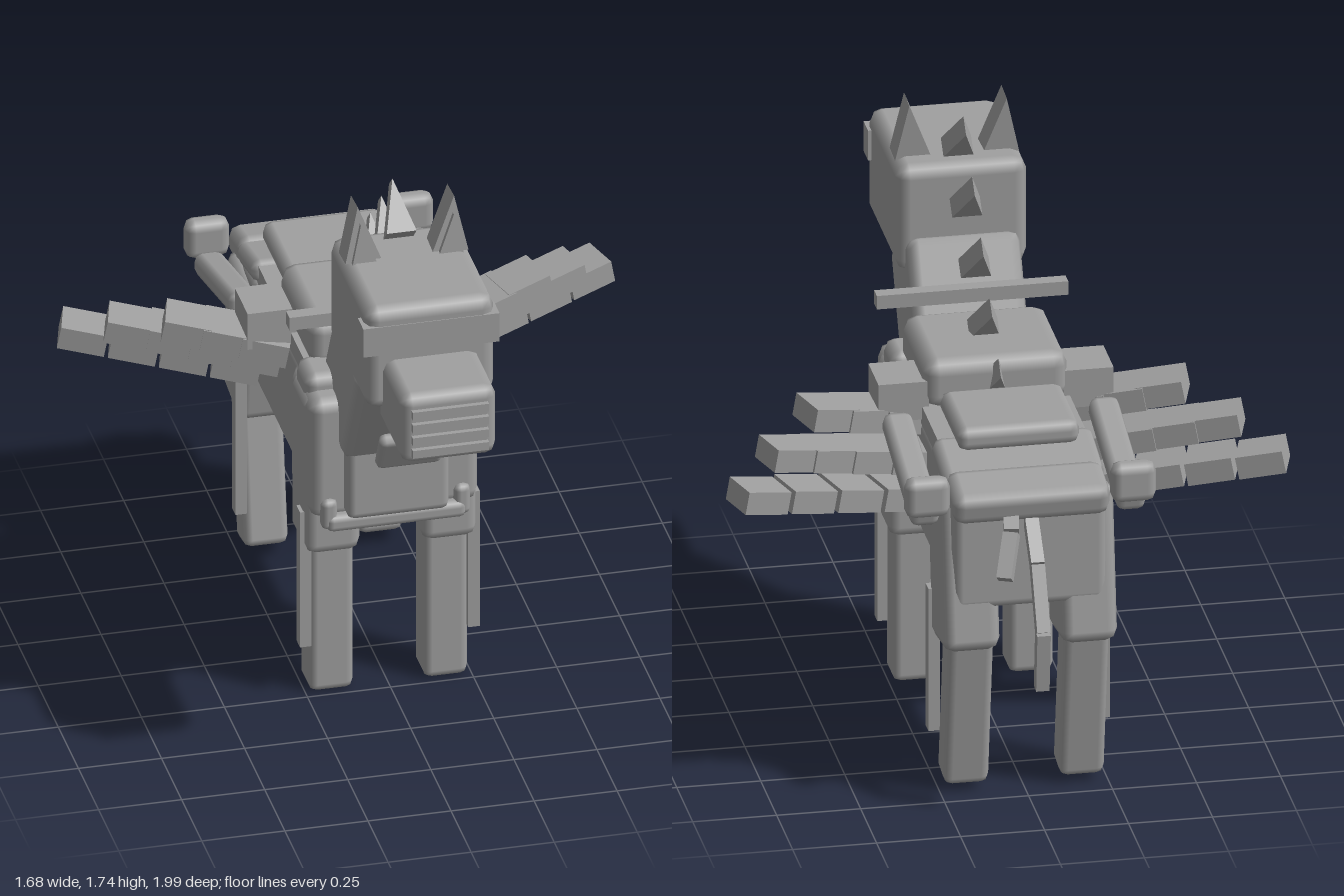
import * as THREE from 'three';
import { RoundedBoxGeometry } from 'three/addons/geometries/RoundedBoxGeometry.js';

const gray = new THREE.MeshStandardMaterial({ color: 0xa0a0a0 });
gray.name = 'plainGray';

export function createModel() {
  const model = new THREE.Group();
  model.name = 'wingedQuadruped';

  function add(name, geometry, pos, rot = [0, 0, 0]) {
    const mesh = new THREE.Mesh(geometry, gray);
    mesh.name = name;
    mesh.position.set(...pos);
    mesh.rotation.set(...rot);
    model.add(mesh);
    return mesh;
  }
  // Sharp box, and box with chamfered edges of width r
  const box = (name, size, pos, rot) => add(name, new THREE.BoxGeometry(...size), pos, rot);
  const soft = (name, size, pos, r = 0.035, rot) =>
    add(name, new RoundedBoxGeometry(...size, 1, r), pos, rot);

  // Triangular prism standing on its base, centred in depth
  function spike(name, halfWidth, height, depth, lean, pos, rot) {
    const shape = new THREE.Shape([
      new THREE.Vector2(-halfWidth, -height / 2),
      new THREE.Vector2(halfWidth, -height / 2),
      new THREE.Vector2(lean, height / 2),
    ]);
    const g = new THREE.ExtrudeGeometry(shape, { depth, bevelEnabled: false });
    g.translate(0, 0, -depth / 2);
    return add(name, g, pos, rot);
  }

  // Box running between two points
  function link(name, a, b, width, thick, r = 0) {
    const va = new THREE.Vector3(...a), vb = new THREE.Vector3(...b);
    const len = va.distanceTo(vb);
    const mid = va.clone().add(vb).multiplyScalar(0.5);
    const g = r ? new RoundedBoxGeometry(width, thick, len, 1, r) : new THREE.BoxGeometry(width, thick, len);
    add(name, g, mid.toArray()).lookAt(vb);
  }

  // Head
  soft('head', [0.39, 0.34, 0.475], [0, 1.4, 0.518], 0.04);
  soft('snout', [0.29, 0.23, 0.3], [0, 1.285, 0.835], 0.035);
  box('visor', [0.41, 0.095, 0.07], [0, 1.468, 0.723]);
  for (let i = 0; i < 4; i++) box('muzzleBar', [0.23, 0.026, 0.03], [0, 1.215 + i * 0.043, 0.985]);
  for (const s of [-1, 1]) {
    spike('ear', 0.055, 0.18, 0.085, s * 0.015, [s * 0.13, 1.65, 0.405], [-0.08, 0, 0]);
    spike('innerEar', 0.038, 0.13, 0.02, s * 0.01, [s * 0.13, 1.625, 0.455], [-0.08, 0, 0]);
  }

  // Neck, pendant and mane
  soft('neck', [0.34, 0.43, 0.32], [0, 1.094, 0.305], 0.035, [0.49, 0, 0]);
  soft('pendant', [0.2, 0.14, 0.045], [0, 0.942, 0.494], 0.02, [0.46, 0, 0]);
  for (let i = 0; i < 5; i++)
    spike('maneSpike', 0.045, 0.165, 0.06, 0, [0, 1.648 - i * 0.134, 0.31 - i * 0.137], [-Math.PI / 4, 0, 0]);
  box('yoke', [0.57, 0.043, 0.043], [0, 1.217, 0.15]);

  // Torso
  soft('shoulders', [0.51, 0.4, 0.27], [0, 0.82, 0.175], 0.04);
  soft('chestPlate', [0.31, 0.3, 0.09], [0, 0.785, 0.312], 0.025);
  soft('chestGuard', [0.42, 0.055, 0.05], [0, 0.617, 0.312], 0.02);
  soft('body', [0.44, 0.37, 0.58], [0, 0.805, -0.24], 0.03);
  box('bellyPlate', [0.3, 0.035, 0.575], [0, 0.593, -0.213]);
  box('backPlate', [0.44, 0.06, 0.6], [0, 1.01, -0.22]);
  soft('saddle', [0.43, 0.155, 0.39], [0, 1.107, -0.065], 0.045);
  soft('rearPad', [0.365, 0.075, 0.31], [0, 1.085, -0.457], 0.03);
  soft('rump', [0.46, 0.36, 0.28], [0, 0.8, -0.645], 0.03);
  soft('rumpCushion', [0.47, 0.1, 0.17], [0, 0.965, -0.735], 0.035, [-0.2, 0, 0]);
  soft('croup', [0.48, 0.07, 0.22], [0, 1.0, -0.58], 0.03, [-0.2, 0, 0]);

  // Feather rows: root, tip and number of blocks
  const rows = [
    { root: [0.28, 0.985, -0.15], tip: [0.5, 1.033, -0.21], n: 3 },
    { root: [0.28, 0.9, -0.25], tip: [0.64, 0.972, -0.345], n: 4 },
    { root: [0.32, 0.825, -0.34], tip: [0.75, 0.9, -0.468], n: 4 },
  ];

  for (const s of [-1, 1]) {
    // Front leg
    soft('frontUpperLeg', [0.17, 0.53, 0.2], [s * 0.175, 0.745, 0.17], 0.035);
    soft('shoulderCap', [0.13, 0.1, 0.15], [s * 0.185, 1.015, 0.16], 0.035);
    soft('frontLowerLeg', [0.135, 0.62, 0.125], [s * 0.172, 0.31, 0.172], 0.025);
    box('frontLegPlate', [0.035, 0.455, 0.045], [s * 0.253, 0.393, 0.22]);
    soft('chestGuardEnd', [0.05, 0.1, 0.05], [s * 0.2, 0.645, 0.305], 0.02);

    // Hind leg
    soft('hindUpperLeg', [0.17, 0.48, 0.23], [s * 0.175, 0.715, -0.655], 0.035, [0.15, 0, 0]);
    soft('hindLowerLeg', [0.135, 0.54, 0.12], [s * 0.172, 0.295, -0.672], 0.025, [-0.165, 0, 0]);
    box('hindLegPlate', [0.035, 0.455, 0.045], [s * 0.253, 0.393, -0.582]);

    // Side rail with its end knob
    link('sideRail', [s * 0.307, 1.03, -0.29], [s * 0.307, 0.915, -0.755], 0.09, 0.07, 0.025);
    soft('railKnob', [0.135, 0.125, 0.07], [s * 0.307, 0.993, -0.77], 0.03);

    // Wing
    box('wingRoot', [0.15, 0.12, 0.16], [s * 0.275, 1.06, -0.16]);
    for (const { root, tip, n } of rows)
      for (let i = 0; i < n; i++) {
        const p = root.map((v, k) => v + (tip[k] - v) * i / (n - 1));
        box('feather', [0.14, 0.07, 0.165 - 0.012 * i], [s * p[0], p[1], p[2]], [0, s * 0.28, s * 0.19]);
      }
  }

  // Tail strands
  const strand = (points, width) => {
    for (let i = 0; i + 1 < points.length; i++) link('tail', points[i], points[i + 1], width, 0.038);
  };
  strand([[0, 0.95, -0.74], [0, 0.8, -0.885], [0, 0.62, -0.975], [0, 0.435, -0.955]], 0.04);
  strand([[0.05, 0.94, -0.74], [0.07, 0.89, -0.85], [0.105, 0.78, -0.93]], 0.045);

  return model;
}
